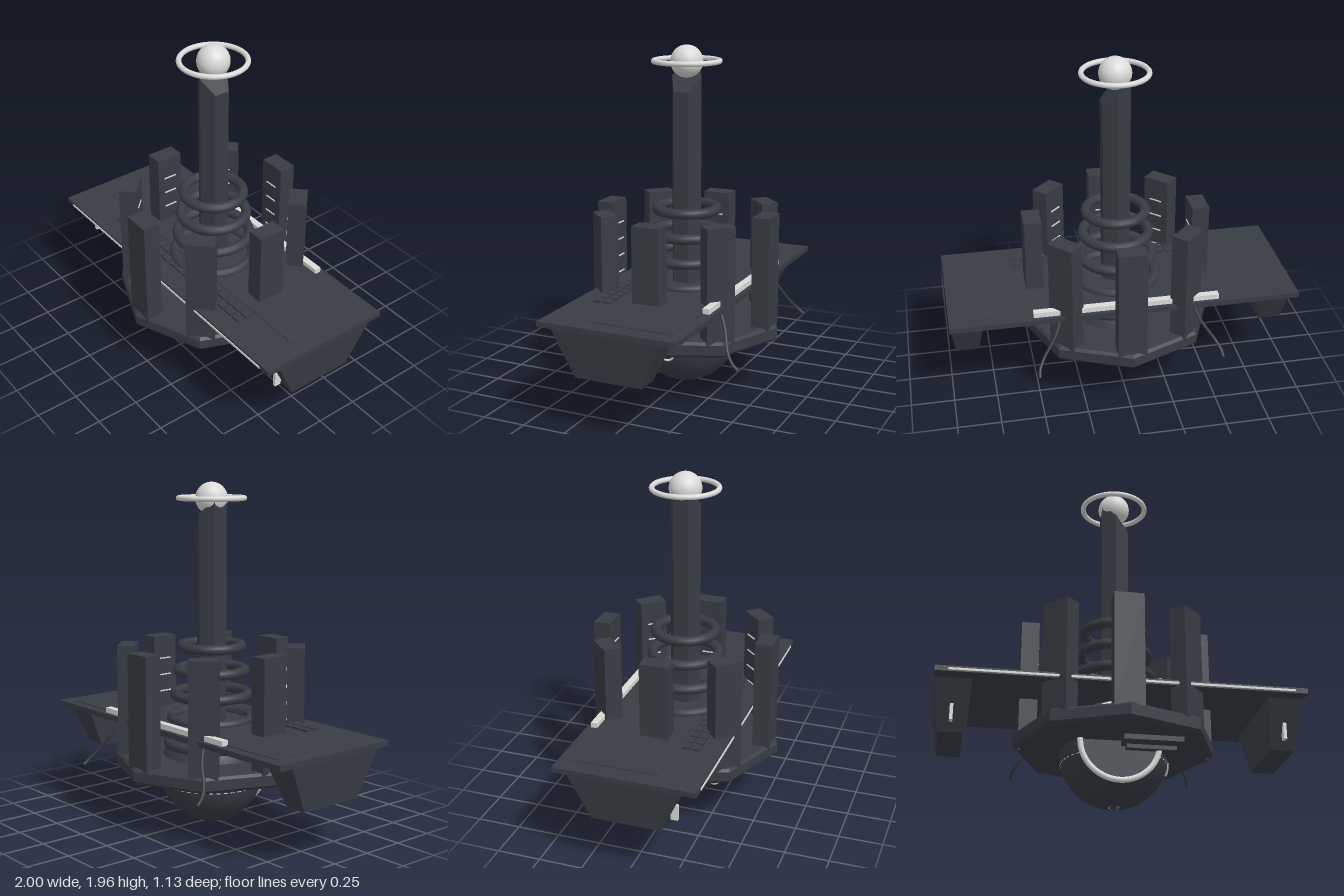
import * as THREE from 'three';

const mat = (name, color, extra = {}) => {
  const m = new THREE.MeshStandardMaterial({ color, ...extra });
  m.name = name;
  return m;
};

export function createModel() {
  const root = new THREE.Group();
  const slate = mat('slate', 0x373d44);
  const slateFlat = mat('slate faceted', 0x373d44, { flatShading: true });
  const pale = mat('pale metal', 0xdadad8);

  const add = (name, geo, material, x = 0, y = 0, z = 0, parent = root) => {
    const mesh = new THREE.Mesh(geo, material);
    mesh.name = name;
    mesh.position.set(x, y, z);
    parent.add(mesh);
    return mesh;
  };
  const box = (name, w, h, d, material, x, y, z, parent) =>
    add(name, new THREE.BoxGeometry(w, h, d), material, x, y, z, parent);
  const ring = (name, R, r, material, x, y, z, flat = true) => {
    const m = add(name, new THREE.TorusGeometry(R, r, 12, 56), material, x, y, z);
    if (flat) m.rotation.x = Math.PI / 2;
    return m;
  };
  const v2 = (a) => a.map(([x, y]) => new THREE.Vector2(x, y));

  // Octagonal platform with chamfered rims
  add('platform', new THREE.LatheGeometry(
    v2([[0, 0.31], [0.545, 0.31], [0.563, 0.328], [0.563, 0.385], [0.548, 0.4], [0, 0.4]]), 8), slateFlat);
  for (const s of [-1, 1]) add('platformStud', new THREE.SphereGeometry(0.012, 10, 8), slate, s * 0.525, 0.306, 0);

  // Stepped hatch under one side of the platform
  box('hatchUpper', 0.32, 0.03, 0.65, slate, 0.165, 0.297, 0);
  box('hatchLower', 0.27, 0.025, 0.5, slate, 0.165, 0.272, 0);

  // Sphere sliced flat at the front, closed by a disc
  const R = 0.3, cut = 0.21, profile = [];
  const end = Math.acos(-cut / R);
  for (let i = 0; i <= 32; i++) {
    const a = (i / 32) * end;
    profile.push(new THREE.Vector2(R * Math.sin(a), -R * Math.cos(a)));
  }
  add('sphere', new THREE.LatheGeometry(profile, 48), slate, 0, 0.3, 0).rotation.x = Math.PI / 2;
  add('sphereFace', new THREE.CircleGeometry(Math.sqrt(R * R - cut * cut), 48), slate, 0, 0.3, cut);
  ring('sphereFaceRing', 0.215, 0.016, pale, 0, 0.305, 0.217, false);

  // Thin dashed seam and small rings on the sphere
  for (let i = 0; i < 44; i++) {
    const a = (i / 44) * Math.PI * 2;
    const z = Math.cos(a) * 0.292;
    if (z > 0.2) continue;
    box('sphereSeam', 0.022, 0.004, 0.005, pale, Math.sin(a) * 0.292, 0.235, z).rotation.y = a;
  }
  const port = ring('sidePort', 0.045, 0.006, pale, 0.293, 0.25, -0.01, false);
  port.rotation.y = Math.PI / 2;
  ring('bottomPort', 0.028, 0.004, pale, 0, 0.005, 0);

  // Eight pillars with pale dashes facing inwards
  for (let i = 0; i < 8; i++) {
    const pillar = new THREE.Group();
    pillar.name = 'pillar';
    pillar.rotation.y = (i * Math.PI) / 4;
    root.add(pillar);
    box('pillarPost', 0.163, 0.65, 0.1, slate, 0, 0.71, 0.485, pillar);
    for (let k = 0; k < 4; k++) box('pillarDash', 0.08, 0.007, 0.008, pale, 0, 0.9 - k * 0.1, 0.434, pillar);
  }

  // Wide desk with raised panel, front strip and back light bar
  box('desk', 2, 0.03, 0.8, slate, 0, 0.585, 0);
  box('deskPanel', 1.8, 0.004, 0.5, slate, 0, 0.602, -0.09);
  box('frontStrip', 1.86, 0.012, 0.008, pale, 0, 0.583, 0.401);
  box('backLightBar', 1.06, 0.03, 0.04, pale, 0, 0.615, -0.355);

  // Two rows of keys
  for (const z of [0.207, 0.262]) {
    for (let i = 0; i < 18; i++) box('key', 0.053, 0.014, 0.042, slate, (i - 8.5) * 0.067, 0.606, z);
  }

  // Tapered pods, handles and trailing cables, mirrored
  for (const s of [-1, 1]) {
    const geo = new THREE.BoxGeometry(0.2, 0.27, 0.64);
    const p = geo.attributes.position;
    for (let i = 0; i < p.count; i++) {
      if (p.getY(i) < 0) p.setXYZ(i, p.getX(i) * 0.65, p.getY(i), p.getZ(i) * 0.61);
    }
    geo.computeVertexNormals();
    add('pod', geo, slate, s * 0.9, 0.445, 0);
    box('podHandle', 0.018, 0.09, 0.04, pale, s * 0.9, 0.4, 0.25);

    const path = new THREE.CatmullRomCurve3([
      [0.38, 0.58, -0.375], [0.42, 0.49, -0.42], [0.49, 0.39, -0.465], [0.52, 0.34, -0.505], [0.527, 0.31, -0.54],
    ].map(([x, y, z]) => new THREE.Vector3(s * x, y, z)));
    add('cable', new THREE.TubeGeometry(path, 24, 0.009, 8), slate);
  }

  // Coil rings widening downwards, with small knobs on top
  for (let i = 0; i < 5; i++) {
    const y = 1.03 - i * 0.14, r = 0.17 + i * 0.02;
    ring('coilRing', r, 0.029, slate, 0, y, 0);
    for (let k = 0; k < 8; k++) {
      const a = ((k + 0.5) * Math.PI) / 4;
      add('coilKnob', new THREE.CylinderGeometry(0.008, 0.008, 0.064, 8), slate, Math.sin(a) * r, y, Math.cos(a) * r);
    }
  }

  // Hexagonal mast with a slanted top
  const mastGeo = new THREE.CylinderGeometry(0.09, 0.09, 1.2, 6);
  const mp = mastGeo.attributes.position;
  for (let i = 0; i < mp.count; i++) {
    mp.setY(i, mp.getY(i) > 0 ? 1.785 - 1.05 * mp.getX(i) : 0.59);
  }
  mastGeo.computeVertexNormals();
  add('mast', mastGeo, slateFlat);

  // Ball and halo at the tip
  add('tipBall', new THREE.SphereGeometry(0.092, 32, 24), pale, 0, 1.868, 0);
  ring('halo', 0.185, 0.015, pale, 0, 1.87, 0);

  return root;
}
